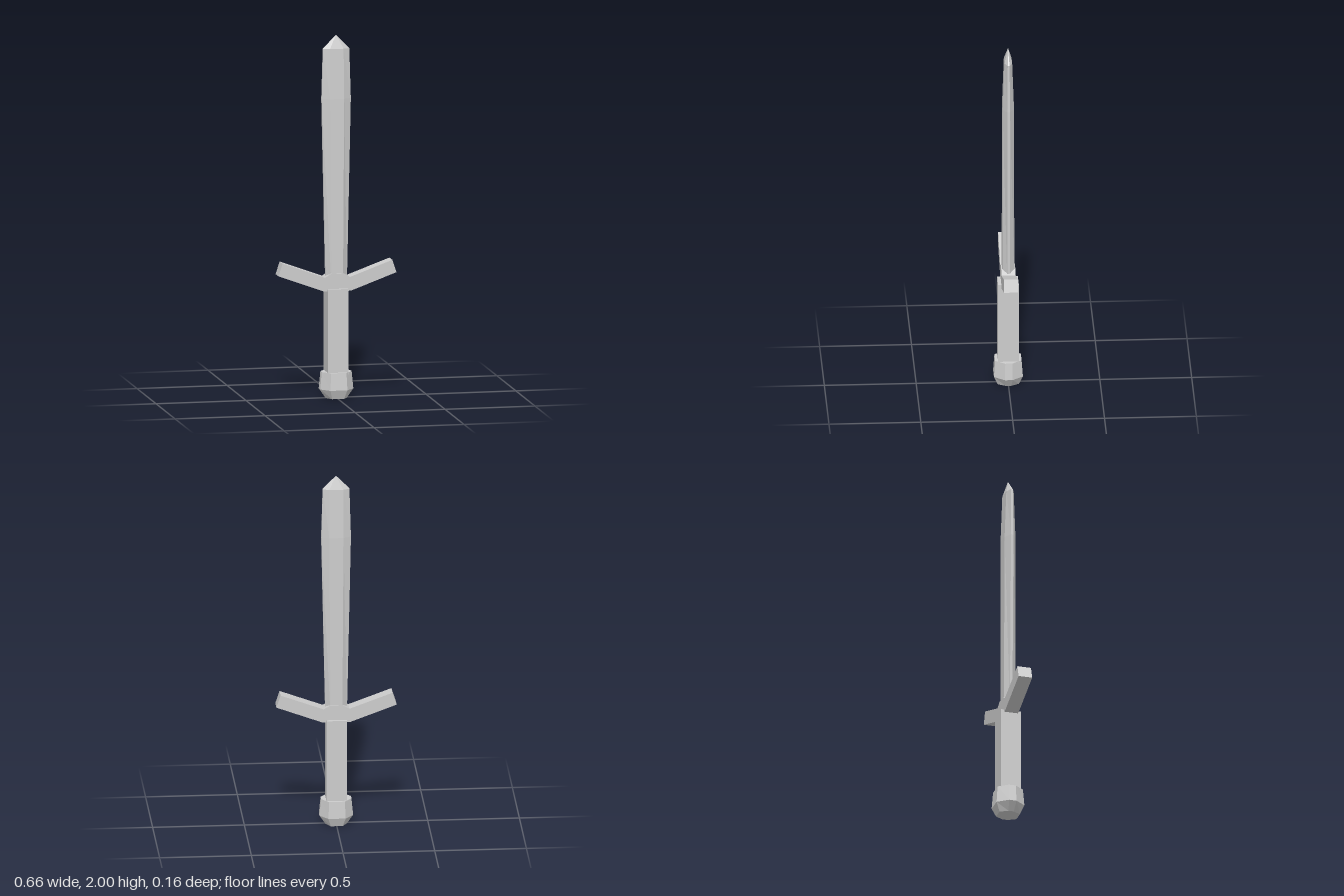
import * as THREE from 'three';

// Octagonal ring: outer corners at (w, e), inner corners at (r, d)
const ring = (y, w, e, r, d) => [
  [w, e], [r, d], [-r, d], [-w, e], [-w, -e], [-r, -d], [r, -d], [w, -e],
].map(([x, z]) => new THREE.Vector3(x, y, z));

// Flat-faced loft through rings listed from bottom to top, closed at both ends
function loft(rings) {
  const pos = [];
  const tri = (a, b, c) => pos.push(...a.toArray(), ...b.toArray(), ...c.toArray());
  for (let k = 0; k < rings.length - 1; k++) {
    const lo = rings[k], hi = rings[k + 1];
    for (let i = 0; i < 8; i++) {
      const j = (i + 1) % 8;
      tri(lo[i], hi[i], hi[j]);
      tri(lo[i], hi[j], lo[j]);
    }
  }
  const bottom = rings[0], top = rings[rings.length - 1];
  for (let i = 1; i < 7; i++) {
    tri(bottom[0], bottom[i], bottom[i + 1]);
    tri(top[0], top[i + 1], top[i]);
  }
  const geo = new THREE.BufferGeometry();
  geo.setAttribute('position', new THREE.Float32BufferAttribute(pos, 3));
  geo.computeVertexNormals();
  return geo;
}

export function createModel() {
  const group = new THREE.Group();
  const steel = new THREE.MeshStandardMaterial({ color: 0xcccccc, flatShading: true });
  steel.name = 'grey steel';
  const add = (name, geo) => {
    const mesh = new THREE.Mesh(geo, steel);
    mesh.name = name;
    group.add(mesh);
    return mesh;
  };

  // Pommel: faceted knob with a bevelled foot
  add('pommel', loft([
    ring(0, 0.058, 0.015, 0.033, 0.058),
    ring(0.05, 0.092, 0.021, 0.047, 0.079),
    ring(0.145, 0.083, 0.019, 0.043, 0.072),
  ]));

  // Square grip
  add('grip', new THREE.BoxGeometry(0.113, 0.505, 0.113)).position.y = 0.3525;

  // Crossguard with upswept arms and a raised collar
  const half = [[0.075, 0.592], [0.328, 0.685], [0.305, 0.754], [0.07, 0.668], [0.033, 0.69]];
  const outline = [...half, ...half.map(([x, y]) => [-x, y]).reverse()];
  const shape = new THREE.Shape(outline.map(([x, y]) => new THREE.Vector2(x, y)));
  const guard = new THREE.ExtrudeGeometry(shape, { depth: 0.077, bevelEnabled: false });
  guard.translate(0, 0, -0.0385);
  add('crossguard', guard);

  // Blade: swells towards the upper third, then closes to a short point
  add('blade', loft([
    ring(0.62, 0.059, 0.007, 0.032, 0.033),
    ring(1.65, 0.081, 0.007, 0.039, 0.031),
    ring(1.925, 0.073, 0.005, 0.038, 0.021),
    ring(2, 0.0005, 0.0002, 0.0003, 0.0005),
  ]));

  return group;
}
